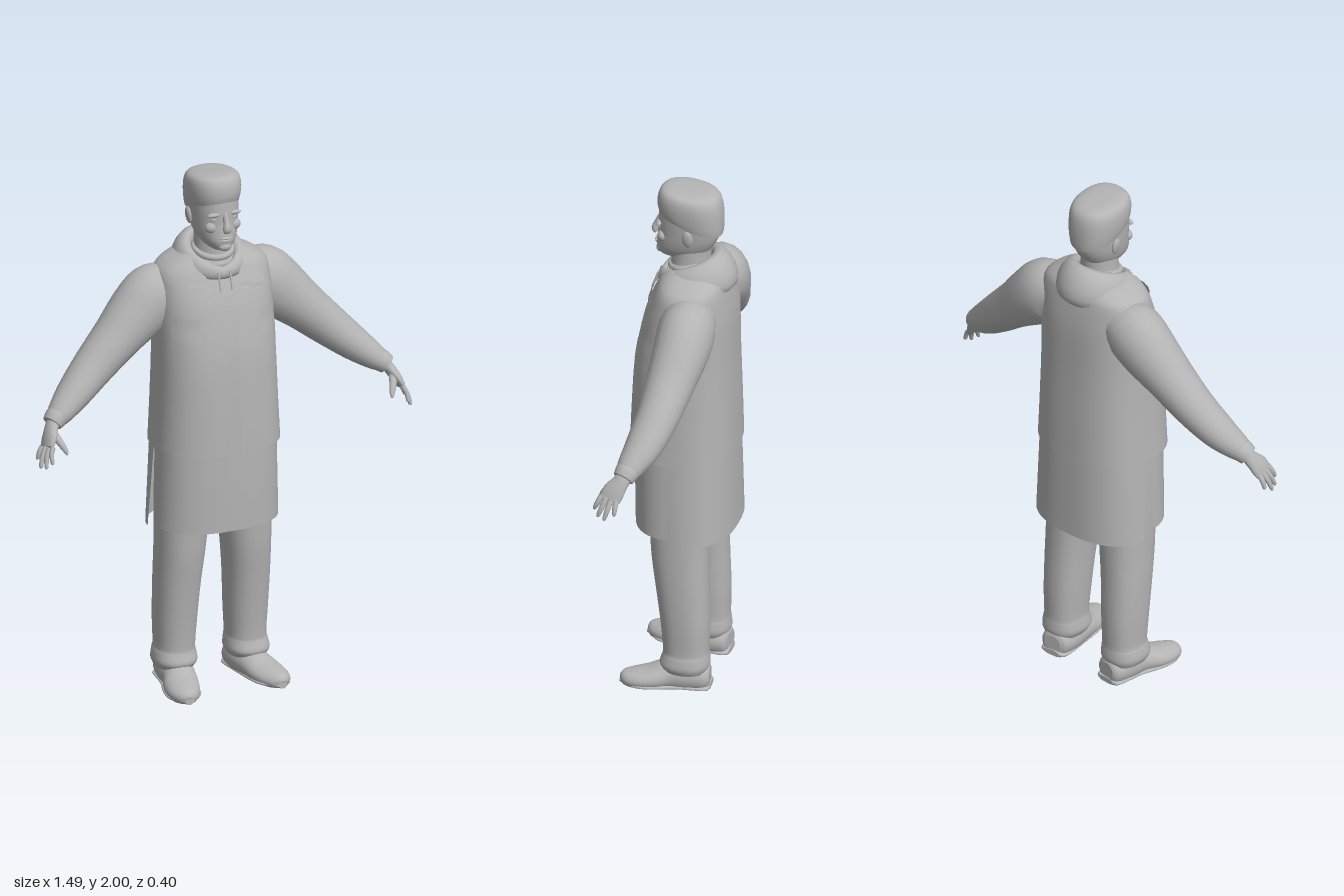
import * as THREE from 'three';

const clay = new THREE.MeshStandardMaterial({ color: 0xb4b4b4, side: THREE.DoubleSide });
clay.name = 'clay grey';

// Smoothly interpolates rows of numbers, k steps per interval.
function smooth(rows, k = 4) {
  const cols = rows[0].map((_, c) => new THREE.SplineCurve(rows.map((r, i) => new THREE.Vector2(i, r[c]))));
  const n = (rows.length - 1) * k;
  return Array.from({ length: n + 1 }, (_, i) => cols.map(c => c.getPoint(i / n).y));
}

// Skins a list of point rings; closed rings may be capped.
function loft(rings, closed = true, cap = true) {
  const m = rings[0].length, pos = [], idx = [];
  rings.forEach(r => r.forEach(p => pos.push(p.x, p.y, p.z)));
  for (let i = 0; i < rings.length - 1; i++) {
    for (let j = 0; j < (closed ? m : m - 1); j++) {
      const a = i * m + j, b = i * m + (j + 1) % m;
      idx.push(a, b, b + m, a, b + m, a + m);
    }
  }
  if (closed && cap) {
    [rings[0], rings[rings.length - 1]].forEach((r, end) => {
      const base = pos.length / 3, c = new THREE.Vector3();
      r.forEach(p => { pos.push(p.x, p.y, p.z); c.addScaledVector(p, 1 / m); });
      pos.push(c.x, c.y, c.z);
      for (let j = 0; j < m; j++) {
        const a = base + j, b = base + (j + 1) % m;
        idx.push(...(end ? [a, b, base + m] : [b, a, base + m]));
      }
    });
  }
  const g = new THREE.BufferGeometry();
  g.setAttribute('position', new THREE.Float32BufferAttribute(pos, 3));
  g.setIndex(idx);
  g.computeVertexNormals();
  return g;
}

// Horizontal rounded section; angle 0 is the front, rising towards +x.
function section([y, cx, rx, zf, zb, tilt = 0], n, a0, a1, segs, closed) {
  const pw = v => Math.sign(v) * Math.abs(v) ** (2 / n), mid = (zf + zb) / 2, half = (zf - zb) / 2;
  return Array.from({ length: closed ? segs : segs + 1 }, (_, j) => {
    const a = a0 + (a1 - a0) * j / segs, z = mid + half * pw(Math.cos(a));
    return new THREE.Vector3(cx + rx * pw(Math.sin(a)), y + tilt * z, z);
  });
}
const TAU = Math.PI * 2;
const body = (rows, n = 2, segs = 36, k = 4) => loft(smooth(rows, k).map(r => section(r, n, 0, TAU, segs, true)));
// Open cloth: the last two numbers of each row are the start and end angles.
const cloth = (rows, n, segs = 48) =>
  loft(smooth(rows).map(r => section(r.slice(0, 5), n, r[5], r[6], segs, false)), false);

// Limb along a path: rows are x, y, z, radius across, radius along ref.
function limb(rows, ref = new THREE.Vector3(0, 0, 1), segs = 20, floor = -1) {
  const s = smooth(rows), P = s.map(r => new THREE.Vector3(...r));
  return loft(s.map((r, i) => {
    const T = P[Math.min(i + 1, P.length - 1)].clone().sub(P[Math.max(i - 1, 0)]).normalize();
    const N = T.clone().cross(ref).normalize(), B = N.clone().cross(T);
    return Array.from({ length: segs }, (_, j) => {
      const a = j / segs * TAU;
      const p = P[i].clone().addScaledVector(B, r[4] * Math.cos(a)).addScaledVector(N, r[3] * Math.sin(a));
      p.y = Math.max(p.y, floor);
      return p;
    });
  }));
}

function mirror(g) {
  const m = g.clone().scale(-1, 1, 1), ix = m.index.array;
  for (let i = 0; i < ix.length; i += 3) [ix[i], ix[i + 1]] = [ix[i + 1], ix[i]];
  m.computeVertexNormals();
  return m;
}

export function createModel() {
  const model = new THREE.Group();
  const add = (name, g) => {
    const mesh = new THREE.Mesh(g, clay);
    mesh.name = name;
    model.add(mesh);
  };
  const pair = (name, g) => { add('left' + name, g); add('right' + name, mirror(g)); };
  const blob = (x, y, z, sx, sy, sz, rz = 0) =>
    new THREE.SphereGeometry(1, 18, 12).scale(sx, sy, sz).rotateZ(rz).translate(x, y, z);

  // Head, neck and flat-topped hair
  add('head', body([[1.712, 0, 0.03, 0.09, -0.03], [1.722, 0, 0.045, 0.107, -0.06], [1.75, 0, 0.066, 0.115, -0.085],
    [1.785, 0, 0.078, 0.112, -0.108], [1.82, 0, 0.084, 0.108, -0.122], [1.86, 0, 0.088, 0.108, -0.13],
    [1.9, 0, 0.09, 0.105, -0.13]], 2.2));
  add('neck', body([[1.58, 0, 0.085, 0.075, -0.1], [1.68, 0, 0.068, 0.062, -0.085], [1.78, 0, 0.064, 0.06, -0.09]]));
  add('hair', body([[1.865, 0, 0.088, 0.105, -0.13, 0.35], [1.89, 0, 0.094, 0.11, -0.133, 0.3], [1.93, 0, 0.098, 0.11, -0.132, 0.2],
    [1.965, 0, 0.095, 0.102, -0.125, 0.15], [1.985, 0, 0.082, 0.085, -0.11, 0.12], [1.993, 0, 0.05, 0.05, -0.08, 0.1],
    [1.994, 0, 0.01, 0, -0.03, 0.1]], 2.3));

  // Face
  add('nose', limb([[0, 1.865, 0.1, 0.01, 0.009], [0, 1.83, 0.114, 0.013, 0.011], [0, 1.805, 0.123, 0.014, 0.016],
    [0, 1.793, 0.118, 0.009, 0.014]], new THREE.Vector3(1, 0, 0), 14));
  pair('Brow', blob(0.036, 1.858, 0.094, 0.031, 0.009, 0.013, -0.08));
  pair('Eye', blob(0.034, 1.838, 0.092, 0.016, 0.007, 0.009));
  pair('Cheek', blob(0.045, 1.806, 0.082, 0.025, 0.022, 0.02));
  add('upperLip', blob(0, 1.767, 0.112, 0.025, 0.005, 0.01));
  add('lowerLip', blob(0, 1.757, 0.111, 0.02, 0.006, 0.01));
  add('chin', blob(0, 1.731, 0.102, 0.025, 0.017, 0.016));
  pair('Ear', blob(0.089, 1.825, -0.022, 0.01, 0.034, 0.02, -0.12));

  // Shirt and its collar under the vest
  add('shirt', body([[0.93, 0, 0.225, 0.172, -0.175], [1.3, 0, 0.208, 0.163, -0.165], [1.5, 0, 0.205, 0.128, -0.155],
    [1.6, 0, 0.19, 0.092, -0.145], [1.66, 0, 0.12, 0.07, -0.12]], 2.5));
  [1.665, 1.69].forEach((y, i) => add('shirtCollar' + i,
    new THREE.TorusGeometry(0.072 - i * 0.004, 0.012, 10, 32).rotateX(Math.PI / 2 + 0.25).translate(0, y, -0.005)));

  // Open-fronted vest
  const N = 2.5;
  const vest = [[0.95, 0, 0.238, 0.2, -0.192], [1.12, 0, 0.23, 0.194, -0.188], [1.31, 0, 0.224, 0.182, -0.182],
    [1.48, 0, 0.222, 0.15, -0.178], [1.56, 0, 0.22, 0.125, -0.17], [1.62, 0, 0.212, 0.1, -0.16],
    [1.655, 0, 0.178, 0.085, -0.15], [1.69, 0, 0.11, 0.06, -0.12]];
  const gap = [0.06, 0.06, 0.06, 0.07, 0.09, 0.2, 0.4, 0.7];
  add('vest', cloth(vest.map((r, i) => [...r, gap[i], TAU - gap[i] * 1.35]), N, 72));

  // Flat patches that follow the chest: corners bottom-left, bottom-right, top-right, top-left
  const vestRows = smooth(vest, 8);
  function patch(c, off) {
    const at = (x, y) => {
      const [, , rx, zf, zb] = vestRows.find(r => r[0] >= y);
      return (zf + zb) / 2 + (zf - zb) / 2 * (1 - Math.min(1, Math.abs(x) / rx) ** N) ** (1 / N) + off;
    };
    const mix = THREE.MathUtils.lerp;
    return loft(Array.from({ length: 7 }, (_, i) => Array.from({ length: 9 }, (_, j) => {
      const u = j / 8, v = i / 6;
      const x = mix(mix(c[0][0], c[1][0], u), mix(c[3][0], c[2][0], u), v);
      const y = mix(mix(c[0][1], c[1][1], u), mix(c[3][1], c[2][1], u), v);
      return new THREE.Vector3(x, y, at(x, y));
    })), false);
  }
  add('leftChestFlap', patch([[0.06, 1.565], [0.155, 1.56], [0.165, 1.6], [0.045, 1.605]], 0.009));
  add('rightLapel', patch([[-0.125, 1.56], [-0.045, 1.535], [-0.05, 1.61], [-0.155, 1.625]], 0.012));
  pair('Pocket', patch([[0.12, 1.32], [0.205, 1.32], [0.205, 1.48], [0.12, 1.48]], 0.005));

  // Hood lying round the neck, dropping low behind
  const hood = [];
  for (let i = 0; i <= 48; i++) {
    const a = i / 48 * TAU, b = (1 - Math.cos(a)) / 2, e = Math.sin(a), c = Math.cos(a);
    const lift = b ** 0.6, ring = [];
    for (let j = 0; j < 14; j++) {
      const t = j / 14 * TAU, w = 0.018 + 0.022 * lift, h = 0.024 + 0.046 * lift;
      const R = 1 + (w * Math.cos(t) - 0.35 * h * Math.sin(t) * lift) / 0.11;
      ring.push(new THREE.Vector3(0.106 * e * R, 1.622 + 0.052 * lift + h * Math.sin(t),
        -0.025 + 0.112 * c * R));
    }
    hood.push(ring.reverse());
  }
  add('hood', loft(hood, true, false));
  [-0.028, 0.018].forEach((x, i) => add('drawstring' + i,
    new THREE.CylinderGeometry(0.004, 0.004, 0.07, 8).rotateX(-0.35).translate(x, 1.6, 0.118)));

  // Long tunic skirt with open side slits
  add('tunicFront', cloth([[0.97, 0, 0.228, 0.18, -0.18, -1.56, 1.56], [0.8, 0, 0.233, 0.18, -0.186, -1.54, 1.54],
    [0.642, 0, 0.238, 0.177, -0.19, -1.51, 1.51]].reverse(), N));
  add('tunicBack', cloth([[0.97, 0, 0.23, 0.18, -0.184, 1.6, TAU - 1.6], [0.8, 0, 0.237, 0.18, -0.188, 1.64, TAU - 1.64],
    [0.622, 0, 0.244, 0.178, -0.192, 1.7, TAU - 1.7]].reverse(), N));

  // Trousers with a gathered cuff
  pair('TrouserLeg', body([[0.07, 0.145, 0.07, 0.045, -0.112], [0.095, 0.144, 0.081, 0.062, -0.122], [0.13, 0.143, 0.077, 0.052, -0.12],
    [0.155, 0.142, 0.073, 0.05, -0.118], [0.26, 0.141, 0.078, 0.06, -0.12], [0.4, 0.138, 0.083, 0.078, -0.116],
    [0.52, 0.132, 0.088, 0.095, -0.114], [0.64, 0.125, 0.094, 0.105, -0.115], [0.76, 0.112, 0.105, 0.12, -0.13],
    [0.95, 0.105, 0.105, 0.13, -0.14]], 2.3, 28));

  // Shoes, toes turned slightly outwards
  pair('Shoe', limb([[0.133, 0.045, -0.122, 0.035, 0.035], [0.135, 0.045, -0.105, 0.055, 0.056], [0.14, 0.045, -0.04, 0.066, 0.064],
    [0.15, 0.04, 0.03, 0.056, 0.062], [0.168, 0.028, 0.09, 0.043, 0.066], [0.181, 0.022, 0.145, 0.036, 0.058],
    [0.186, 0.02, 0.185, 0.028, 0.038], [0.187, 0.018, 0.2, 0.012, 0.012]], new THREE.Vector3(1, 0, 0), 28, 0));
  pair('ShoeSole', limb([[0.133, 0.01, -0.126, 0.012, 0.036], [0.135, 0.01, -0.105, 0.013, 0.058], [0.148, 0.01, 0, 0.013, 0.06],
    [0.168, 0.01, 0.09, 0.013, 0.068], [0.181, 0.01, 0.15, 0.013, 0.058], [0.187, 0.01, 0.203, 0.01, 0.014]],
    new THREE.Vector3(1, 0, 0), 20, 0));

  // Sleeves and cuffs
  pair('Sleeve', limb([[0.15, 1.545, -0.055, 0.09, 0.09], [0.21, 1.523, -0.056, 0.118, 0.104], [0.28, 1.465, -0.052, 0.112, 0.102],
    [0.37, 1.385, -0.038, 0.091, 0.09], [0.47, 1.295, -0.02, 0.077, 0.078], [0.56, 1.217, 0.008, 0.063, 0.068],
    [0.625, 1.166, 0.036, 0.048, 0.052], [0.648, 1.15, 0.045, 0.04, 0.044]]));
  pair('Cuff', limb([[0.64, 1.158, 0.042, 0.041, 0.044], [0.652, 1.148, 0.047, 0.041, 0.044],
    [0.668, 1.134, 0.054, 0.036, 0.039]]));

  // Hands
  pair('Palm', limb([[0.655, 1.148, 0.047, 0.024, 0.03], [0.675, 1.12, 0.062, 0.021, 0.032], [0.692, 1.09, 0.082, 0.019, 0.041],
    [0.706, 1.063, 0.094, 0.014, 0.04]]));
  const fingers = [[0.698, 1.07, 0.126, 0.71, 1.02, 0.15], [0.704, 1.063, 0.108, 0.726, 1.0, 0.132],
    [0.707, 1.062, 0.088, 0.736, 0.995, 0.106], [0.706, 1.066, 0.068, 0.733, 1.015, 0.07]];
  fingers.forEach(([x, y, z, X, Y, Z], i) => pair('Finger' + i, limb([[x, y, z, 0.01, 0.011],
    [x + (X - x) * 0.5 + 0.005, (y + Y) / 2, (z + Z) / 2, 0.009, 0.01], [X, Y, Z, 0.007, 0.007],
    [X, Y - 0.005, Z + 0.001, 0.002, 0.002]], undefined, 10)));
  pair('Thumb', limb([[0.68, 1.11, 0.08, 0.016, 0.016], [0.665, 1.082, 0.115, 0.013, 0.014], [0.652, 1.055, 0.136, 0.009, 0.01],
    [0.648, 1.04, 0.146, 0.004, 0.004]], new THREE.Vector3(1, 0, 0), 10));

  return model;
}
